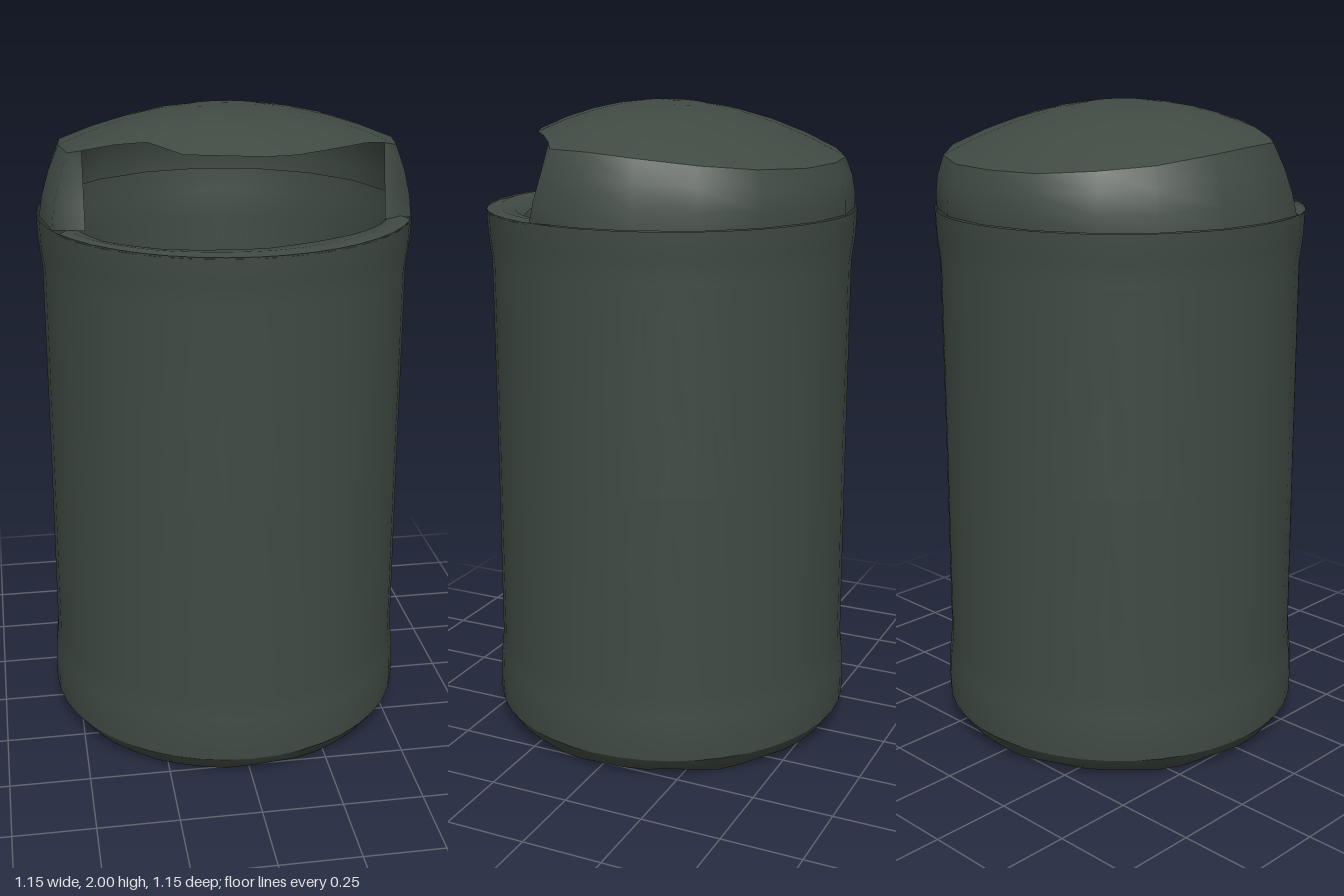
import * as THREE from 'three';
import { mergeVertices } from 'three/addons/utils/BufferGeometryUtils.js';

// Skin a surface through rows of points (rows run counter-clockwise seen from above)
function loft(rows, closed = false) {
  const n = rows[0].length, index = [];
  const spans = closed ? n : n - 1;
  for (let i = 0; i < rows.length - 1; i++) {
    for (let j = 0; j < spans; j++) {
      const a = i * n + j, b = i * n + (j + 1) % n;
      index.push(a, b, a + n, b, b + n, a + n);
    }
  }
  let g = new THREE.BufferGeometry();
  g.setAttribute('position', new THREE.Float32BufferAttribute(rows.flat(2), 3));
  g.setIndex(index);
  g = mergeVertices(g);
  g.computeVertexNormals();
  return g;
}

// Height of the domed lid
function domeY(x, z) {
  const d = z - 0.05;
  return 2 - 0.43 * x * x - (d < 0 ? 0.5 : 0.73) * d * d;
}

export function createModel() {
  const group = new THREE.Group();
  const green = new THREE.MeshStandardMaterial({ color: 0x3f4a43, side: THREE.DoubleSide });
  green.name = 'dark green metal';
  const add = (name, geometry) => {
    const mesh = new THREE.Mesh(geometry, green);
    mesh.name = name;
    group.add(mesh);
  };

  // Drum with slightly flared bands at both ends, open underneath
  const profile = [
    [0.572, 0.07], [0.574, 0.13], [0.57, 0.21], [0.562, 0.28], [0.56, 0.9],
    [0.56, 1.52], [0.57, 1.6], [0.573, 1.68],
  ].map(([r, y]) => new THREE.Vector2(r, y));
  add('body', new THREE.LatheGeometry(profile, 44));

  // Worn, uneven lip curling inward under the drum
  const ring = (r, y, wobble) => Array.from({ length: 44 }, (_, j) => {
    const a = j / 44 * Math.PI * 2;
    const w = wobble * (Math.sin(a * 7 + 1) + Math.sin(a * 13)) / 2;
    return [(r + w) * Math.sin(a), Math.max(0, y + w), (r + w) * Math.cos(a)];
  });
  add('bottomLip', loft([ring(0.495, 0.02, 0.012), ring(0.535, 0.018, 0.018), ring(0.572, 0.07, 0)], true));

  // Crown outline of the hood from the right jamb round the back to the left jamb
  const crown = [
    [0.45, 0.18], [0.495, 0.15], [0.515, 0.02], [0.51, -0.12], [0.45, -0.29], [0.34, -0.42], [0.18, -0.505],
    [0, -0.53], [-0.17, -0.505], [-0.32, -0.42], [-0.43, -0.3], [-0.49, -0.13], [-0.5, 0.02], [-0.48, 0.15], [-0.44, 0.18],
  ];
  // Front edge of the lid overhanging the opening
  const brow = [[-0.35, 0.22], [-0.26, 0.26], [-0.17, 0.355], [0.06, 0.39], [0.15, 0.375], [0.3, 0.3], [0.38, 0.235]];

  // Hood wall; its end columns turn inward as the jambs of the opening
  const wallRow = (t) => crown.map(([x, z], j) => {
    const end = j === 0 || j === crown.length - 1;
    const len = Math.hypot(x, z);
    let bx = x / len * 0.565, bz = z / len * 0.565;
    if (end) { bx = x; bz = 0.22; }
    else if (j === 1 || j === crown.length - 2) { bx = Math.sign(x) * 0.535; bz = 0.2; }
    const bulge = end ? 1 : 1 + 0.02 * Math.sin(Math.PI * t);
    return [(bx + (x - bx) * t) * bulge, 1.68 + (domeY(x, z) - 1.68) * t, (bz + (z - bz) * t) * bulge];
  });
  add('hoodWall', loft([0, 0.3, 0.65, 1].map(wallRow)));

  // Domed lid, filled from its outline to the middle
  const outline = [...crown, ...brow];
  const lidRow = (t) => outline.map(([x, z]) => {
    const px = x * t, pz = z * t;
    return [px, domeY(px, pz), pz];
  });
  add('lid', loft([1, 0.8, 0.6, 0.4, 0.2, 0].map(lidRow), true));

  // Front rim below the opening, from left jamb to right jamb
  const inner = [
    [-0.44, 0.2], [-0.42, 0.26], [-0.38, 0.34], [-0.3, 0.395], [-0.22, 0.44], [-0.09, 0.455],
    [0.04, 0.46], [0.18, 0.41], [0.31, 0.35], [0.38, 0.29], [0.42, 0.24], [0.45, 0.18],
  ];
  const curve = new THREE.CatmullRomCurve3(inner.map(([x, z]) => new THREE.Vector3(x, 0, z)), false, 'catmullrom', 0.1);
  const edge = curve.getSpacedPoints(24);
  const rimRow = (t, y) => edge.map((p) => {
    const a = Math.atan2(p.x, p.z);
    const r = 0.573 + (Math.hypot(p.x, p.z) - 0.573) * t;
    return [r * Math.sin(a), y, r * Math.cos(a)];
  });
  add('frontRim', loft([rimRow(0, 1.675), rimRow(0.35, 1.685), rimRow(0.75, 1.68), rimRow(1, 1.66)]));

  return group;
}
